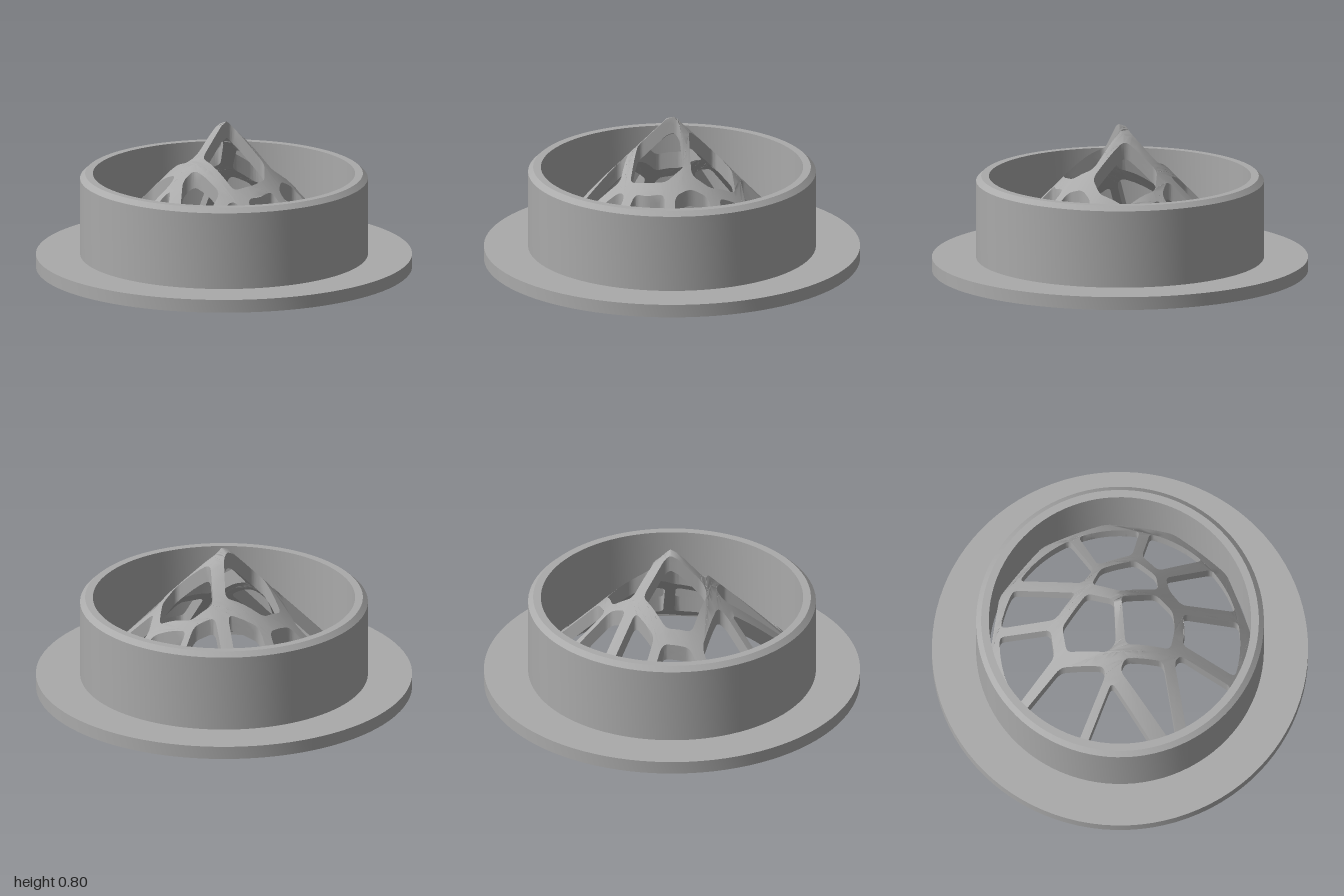
import * as THREE from 'three';
import { toCreasedNormals } from 'three/addons/utils/BufferGeometryUtils.js';

const APEX = 0.81, SLOPE = 1.03, THICK = 0.09, RIM = 0.64, WALL = 0.7;

// Openings near the apex, as plan outlines (x, z)
const innerCells = [
  [[-0.07, -0.31], [0.12, -0.36], [0.22, -0.24], [0.22, -0.14], [0.01, -0.09], [-0.13, -0.2]],
  [[0.01, -0.04], [0.2, -0.1], [0.285, -0.015], [0.285, 0.08], [0.25, 0.185], [0.01, 0.18]],
  [[-0.16, -0.14], [-0.03, -0.03], [-0.04, 0.17], [-0.09, 0.2], [-0.3, 0.135], [-0.31, 0]],
  [[0, 0.235], [0.205, 0.245], [0.24, 0.575], [0.205, 0.585], [-0.03, 0.285]],
];

// Openings at the rim: the first two points bound an arc, the rest are inner corners
const rimCells = [
  [[-0.155, -0.62], [0.17, -0.61], [0.11, -0.41], [-0.08, -0.35]],
  [[0.225, -0.6], [0.465, -0.4], [0.235, -0.29], [0.16, -0.4]],
  [[0.495, -0.34], [0.625, -0.11], [0.335, -0.07], [0.28, -0.145], [0.27, -0.24]],
  [[0.635, -0.05], [0.59, 0.255], [0.315, 0.15], [0.34, 0.08], [0.335, -0.015]],
  [[0.565, 0.31], [0.3, 0.565], [0.265, 0.24], [0.3, 0.205]],
  [[0.13, 0.625], [-0.255, 0.585], [-0.08, 0.325]],
  [[-0.3, 0.57], [-0.54, 0.325], [-0.34, 0.195], [-0.115, 0.255], [-0.11, 0.295]],
  [[-0.56, 0.28], [-0.61, -0.1], [-0.37, -0.015], [-0.365, 0.135]],
  [[-0.61, -0.15], [-0.52, -0.35], [-0.215, -0.175], [-0.34, -0.06]],
  [[-0.485, -0.4], [-0.2, -0.6], [-0.105, -0.32], [-0.175, -0.23]],
];

function withArc([start, end, ...corners]) {
  const a = Math.atan2(start[1], start[0]);
  let b = Math.atan2(end[1], end[0]);
  if (b < a) b += Math.PI * 2;
  const points = [];
  const n = Math.max(2, Math.ceil((b - a) / 0.1));
  for (let i = 0; i <= n; i++) {
    const t = a + ((b - a) * i) / n;
    points.push([RIM * Math.cos(t), RIM * Math.sin(t)]);
  }
  return points.concat(corners);
}

// Closed outline with each corner rounded off
function roundedPath(points, radius = 0.03) {
  const p = points.map(([x, y]) => new THREE.Vector2(x, y));
  const path = new THREE.Path();
  const toward = (a, b) => {
    const d = a.distanceTo(b);
    return a.clone().lerp(b, Math.min(radius, d * 0.45) / d);
  };
  p.forEach((corner, i) => {
    const before = toward(corner, p[(i + p.length - 1) % p.length]);
    const after = toward(corner, p[(i + 1) % p.length]);
    if (i === 0) path.moveTo(before.x, before.y);
    else path.lineTo(before.x, before.y);
    path.quadraticCurveTo(corner.x, corner.y, after.x, after.y);
  });
  path.closePath();
  return path;
}

// Halve the longest edge of each triangle until all edges are short
function subdivide(geometry, maxEdge) {
  const pos = geometry.getAttribute('position');
  const stack = [], out = [];
  const vertex = (i) => new THREE.Vector3().fromBufferAttribute(pos, i);
  for (let i = 0; i < pos.count; i += 3) stack.push([vertex(i), vertex(i + 1), vertex(i + 2)]);
  while (stack.length) {
    let [a, b, c] = stack.pop();
    const ab = a.distanceTo(b), bc = b.distanceTo(c), ca = c.distanceTo(a);
    const longest = Math.max(ab, bc, ca);
    if (longest <= maxEdge) {
      out.push(a, b, c);
      continue;
    }
    if (longest === bc) [a, b, c] = [b, c, a];
    else if (longest === ca) [a, b, c] = [c, a, b];
    const mid = a.clone().add(b).multiplyScalar(0.5);
    stack.push([a, mid, c], [mid, b, c]);
  }
  return new THREE.BufferGeometry().setFromPoints(out);
}

export function createModel() {
  const group = new THREE.Group();
  const grey = new THREE.MeshStandardMaterial({ color: 0xaaaaaa });
  grey.name = 'plain grey';

  // Flange and upright collar with a chamfered lip
  const profile = [
    [0.695, 0], [1, 0], [1, 0.07], [0.765, 0.07], [0.765, 0.485],
    [0.738, 0.51], [0.697, 0.51], [0.695, 0],
  ].map(([r, y]) => new THREE.Vector2(r, y));
  const collarGeometry = toCreasedNormals(new THREE.LatheGeometry(profile, 96), 0.4);
  const collar = new THREE.Mesh(collarGeometry, grey);
  collar.name = 'flangedCollar';
  group.add(collar);

  // Flat web with openings, lifted into a conical shell
  const web = new THREE.Shape();
  web.absarc(0, 0, WALL, 0, Math.PI * 2, false);
  web.holes = [...innerCells, ...rimCells.map(withArc)].map((cell) => roundedPath(cell));
  const flat = new THREE.ExtrudeGeometry(web, { depth: THICK, bevelEnabled: false, curveSegments: 6 });
  flat.rotateX(Math.PI / 2);
  const cone = subdivide(flat.index ? flat.toNonIndexed() : flat, 0.06);
  const pos = cone.getAttribute('position');
  for (let i = 0; i < pos.count; i++) {
    const r = Math.hypot(pos.getX(i), pos.getZ(i));
    pos.setY(i, Math.max(0, pos.getY(i) + APEX - SLOPE * r));
  }
  const lattice = new THREE.Mesh(toCreasedNormals(cone, 0.6), grey);
  lattice.name = 'conicalLattice';
  group.add(lattice);

  return group;
}
